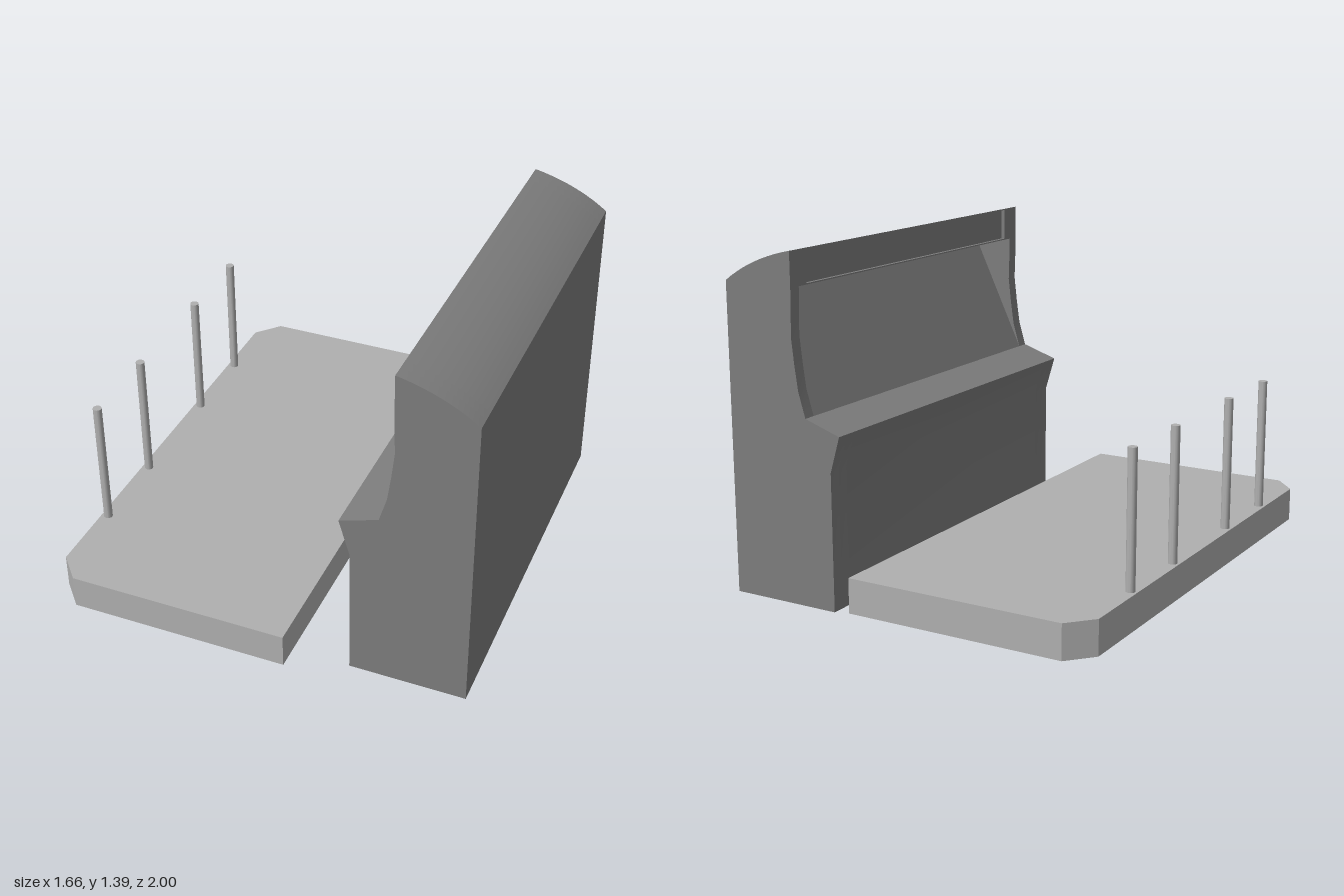
import * as THREE from 'three';
import { toCreasedNormals } from 'three/addons/utils/BufferGeometryUtils.js';

const darkGrey = new THREE.MeshStandardMaterial({ color: 0x7d7d7d });
const lightGrey = new THREE.MeshStandardMaterial({ color: 0xafafaf });

function addMesh(parent, name, geometry, material) {
  const mesh = new THREE.Mesh(geometry, material);
  mesh.name = name;
  parent.add(mesh);
  return mesh;
}

// Extrude an x-y profile between two z positions
function slab(shape, z0, z1) {
  const geometry = new THREE.ExtrudeGeometry(shape, { depth: z1 - z0, bevelEnabled: false, curveSegments: 10 });
  return toCreasedNormals(geometry.translate(0, 0, z0), 0.3);
}

// Cabinet outline: shared back, curved roof and control ledge; only the front above the ledge differs
function cabinetProfile(frontPoints) {
  const shape = new THREE.Shape();
  shape.moveTo(0.355, 0);
  shape.lineTo(0.828, 0);
  shape.lineTo(0.828, 1.256);
  shape.quadraticCurveTo(0.7, 1.352, 0.518, 1.39);
  for (const [x, y] of frontPoints) shape.lineTo(x, y);
  shape.lineTo(0.467, 0.755);
  shape.lineTo(0.311, 0.704);
  shape.lineTo(0.355, 0.557);
  shape.closePath();
  return shape;
}

export function createModel() {
  const model = new THREE.Group();
  model.name = 'arcadeMachine';

  // Cabinet with solid side panels; between them a marquee above a sloping, recessed screen
  const cabinet = new THREE.Group();
  cabinet.name = 'cabinet';
  model.add(cabinet);
  const side = cabinetProfile([[0.518, 1.2], [0.523, 1.065], [0.511, 0.957], [0.497, 0.857]]);
  const marqueeEnd = cabinetProfile([[0.518, 1.25], [0.7, 1.25]]);
  const screen = cabinetProfile([[0.518, 1.385], [0.533, 1.385], [0.533, 1.255], [0.518, 1.255], [0.518, 1.25], [0.7, 1.25]]);
  for (const [name, profile, z0, z1] of [
    ['backSidePanel', side, -0.828, -0.777],
    ['backMarqueeEnd', marqueeEnd, -0.777, -0.73],
    ['screenAndMarquee', screen, -0.73, 0.725],
    ['frontMarqueeEnd', marqueeEnd, 0.725, 0.77],
    ['frontSidePanel', side, 0.77, 0.823],
  ]) addMesh(cabinet, name, slab(profile, z0, z1), darkGrey);

  // Platform with two clipped corners, drawn in x-z and laid flat
  const outline = new THREE.Shape([
    [-0.738, -1], [0.157, -1], [0.157, 1], [-0.738, 1], [-0.828, 0.9], [-0.828, -0.9],
  ].map(([x, y]) => new THREE.Vector2(x, y)));
  const plate = new THREE.ExtrudeGeometry(outline, { depth: 0.138, bevelEnabled: false });
  plate.rotateX(-Math.PI / 2).translate(0, 0.091, 0);
  addMesh(model, 'platform', plate, lightGrey);

  // Thin posts along the platform's outer edge
  const post = toCreasedNormals(new THREE.CylinderGeometry(0.018, 0.018, 0.54, 16), 0.6);
  for (const z of [-0.603, -0.248, 0.249, 0.604]) {
    addMesh(model, 'post', post, lightGrey).position.set(-0.8, 0.497, z);
  }

  return model;
}
